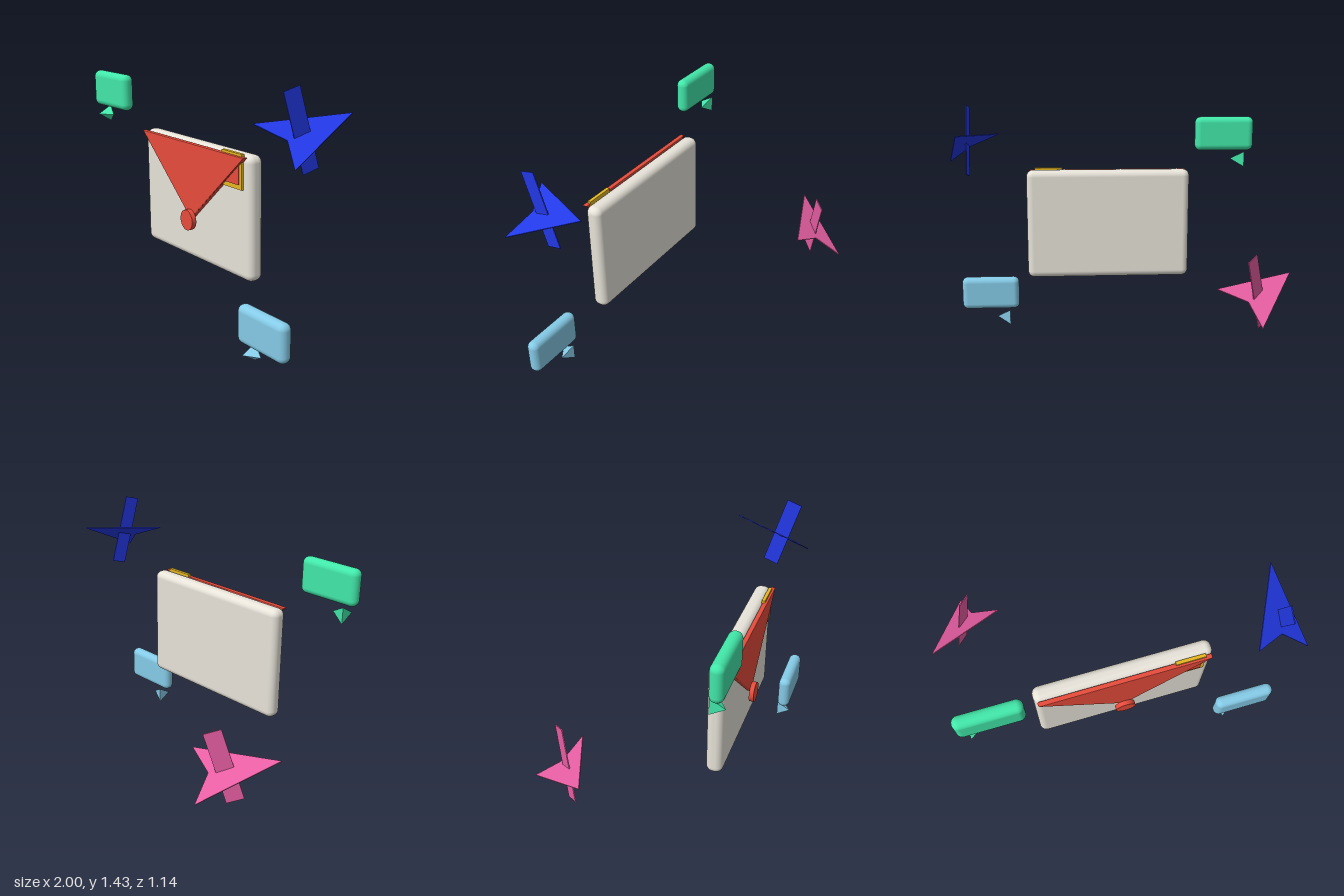
import * as THREE from 'three';
import { RoundedBoxGeometry } from 'three/addons/geometries/RoundedBoxGeometry.js';

const mat = (name, color) => {
  const m = new THREE.MeshStandardMaterial({ color });
  m.name = name;
  return m;
};

function add(parent, name, geometry, material, x = 0, y = 0, z = 0) {
  const mesh = new THREE.Mesh(geometry, material);
  mesh.name = name;
  mesh.position.set(x, y, z);
  parent.add(mesh);
  return mesh;
}

const v = (a) => new THREE.Vector3(...a);

// Thin slab from four coplanar corners, split along corners 0 and 2
function slab(corners, thickness) {
  const n = corners[2].clone().sub(corners[0])
    .cross(corners[3].clone().sub(corners[1])).normalize();
  const top = corners.map((p) => p.clone().addScaledVector(n, thickness / 2));
  const low = corners.map((p) => p.clone().addScaledVector(n, -thickness / 2));
  const tris = [top[0], top[1], top[2], top[0], top[2], top[3],
    low[0], low[2], low[1], low[0], low[3], low[2]];
  for (let i = 0; i < 4; i++) {
    const j = (i + 1) % 4;
    tris.push(low[i], low[j], top[j], low[i], top[j], top[i]);
  }
  const g = new THREE.BufferGeometry().setFromPoints(tris);
  g.computeVertexNormals();
  return g;
}

// Paper plane: notched dart wing crossed by a rectangular fin
function paperPlane(name, material, nose, left, right, finCentre, finAlong, finUp) {
  const group = new THREE.Group();
  group.name = name;
  const [n, l, r] = [v(nose), v(left), v(right)];
  const notch = l.clone().add(r).multiplyScalar(0.5).lerp(n, 0.17);
  add(group, 'wing', slab([n, l, notch, r], 0.006), material);
  const [c, a, u] = [v(finCentre), v(finAlong), v(finUp)];
  const corner = (i, j) => c.clone().addScaledVector(a, i).addScaledVector(u, j);
  add(group, 'fin', slab([corner(-1, -1), corner(1, -1), corner(1, 1), corner(-1, 1)], 0.006), material);
  return group;
}

// Speech bubble with a three-sided pointer underneath
function bubble(name, material, x, y, z) {
  const group = new THREE.Group();
  group.name = name;
  group.position.set(x, y, z);
  add(group, 'bubbleBody', new RoundedBoxGeometry(0.366, 0.21, 0.076, 5, 0.036), material);
  const tail = new THREE.ConeGeometry(0.056, 0.084, 3).rotateZ(-Math.PI / 2).toNonIndexed();
  tail.computeVertexNormals();
  add(group, 'bubbleTail', tail, material, -0.082, -0.157, -0.016);
  return group;
}

export function createModel() {
  const model = new THREE.Group();
  model.name = 'envelopeScene';

  const paper = mat('warm white', 0xe8e4da);
  const red = mat('red', 0xe74c3c);
  const gold = mat('gold', 0xe6b822);
  const green = mat('mint green', 0x42e8aa);
  const sky = mat('sky blue', 0x87ceeb);
  const blue = mat('deep blue', 0x243bef);
  const pink = mat('pink', 0xff69b4);

  // Envelope
  const envelope = new THREE.Group();
  envelope.name = 'envelope';
  model.add(envelope);
  add(envelope, 'envelopeBody', new RoundedBoxGeometry(1.005, 0.676, 0.095, 5, 0.04), paper, 0.015, 0.698, 0.373);

  // Bevelled triangular flap
  const shape = new THREE.Shape([[-0.475, 1.026], [0, 0.61], [0.475, 1.026]].map((p) => new THREE.Vector2(...p)));
  const flap = new THREE.ExtrudeGeometry(shape, {
    depth: 0.012, bevelThickness: 0.008, bevelSize: 0.008, bevelSegments: 3,
  });
  add(envelope, 'flap', flap, red, 0.015, 0, 0.427);

  // Round seal
  add(envelope, 'seal', new THREE.CylinderGeometry(0.058, 0.058, 0.027, 32).rotateX(Math.PI / 2), red, 0.015, 0.6, 0.461);

  // Stamp: gold border with red face
  add(envelope, 'stampBorder', new THREE.BoxGeometry(0.17, 0.188, 0.02), gold, 0.382, 0.949, 0.424);
  add(envelope, 'stampFace', new THREE.BoxGeometry(0.128, 0.138, 0.008), red, 0.382, 0.949, 0.434);

  // Speech bubbles
  model.add(bubble('greenBubble', green, -0.722, 1.241, 0.49));
  model.add(bubble('blueBubble', sky, 0.77, 0.21, 0.53));

  // Paper planes
  model.add(paperPlane('bluePlane', blue,
    [0.908, 1.278, 0.099], [0.692, 1.242, 0.538], [0.998, 1.073, 0.538],
    [0.87, 1.219, 0.391], [0.005, 0.0125, -0.045], [0, 0.203, 0.0625]));
  model.add(paperPlane('pinkPlane', pink,
    [-1, 0.518, -0.187], [-0.765, 0.316, -0.568], [-0.547, 0.481, -0.37],
    [-0.775, 0.461, -0.37], [0.031, -0.0135, -0.035], [0.0445, 0.2025, -0.046]));

  return model;
}
